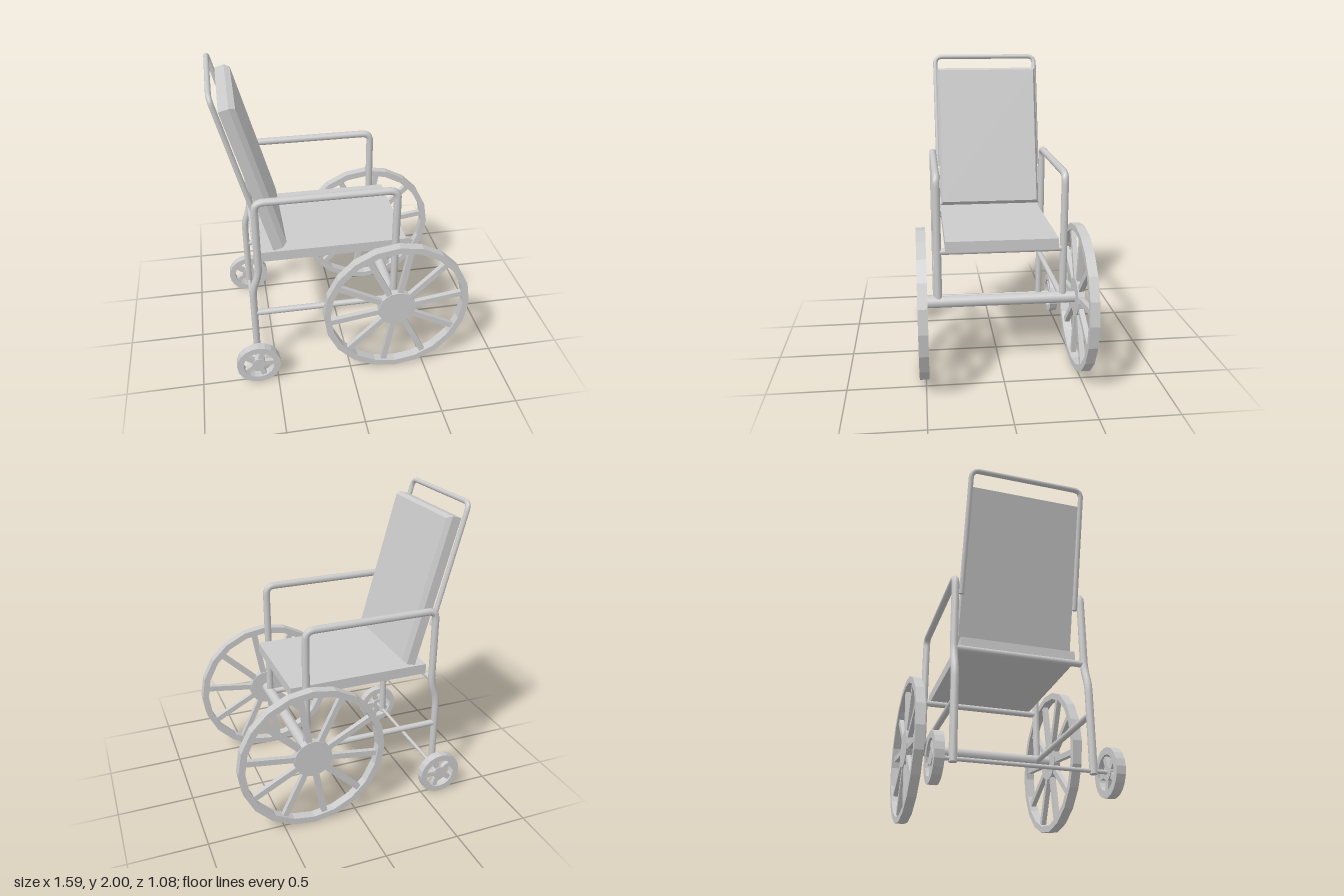
import * as THREE from 'three';

const grey = new THREE.MeshStandardMaterial({ color: 0xcccccc });
const flat = new THREE.MeshStandardMaterial({ color: 0xcccccc, flatShading: true });
const V = (x, y, z) => new THREE.Vector3(x, y, z);

function add(parent, name, geometry, material = flat) {
  const mesh = new THREE.Mesh(geometry, material);
  mesh.name = name;
  parent.add(mesh);
  return mesh;
}

// Bent tube through corner points, each corner rounded by the bend length, ends capped
function bentTube(parent, name, points, radius, bend) {
  const path = new THREE.CurvePath();
  let from = points[0];
  for (let i = 1; i < points.length - 1; i++) {
    const p = points[i];
    const a = p.clone().add(points[i - 1].clone().sub(p).setLength(bend));
    const b = p.clone().add(points[i + 1].clone().sub(p).setLength(bend));
    path.add(new THREE.LineCurve3(from, a));
    path.add(new THREE.QuadraticBezierCurve3(a, p, b));
    from = b;
  }
  path.add(new THREE.LineCurve3(from, points[points.length - 1]));
  const group = new THREE.Group();
  group.name = name;
  parent.add(group);
  add(group, name + 'Tube', new THREE.TubeGeometry(path, 120, radius, 10), grey);
  for (const t of [0, 1]) {
    const cap = add(group, name + 'Cap', new THREE.CircleGeometry(radius, 10), grey);
    const end = path.getPoint(t);
    const out = path.getTangent(t).multiplyScalar(t ? 1 : -1);
    cap.position.copy(end);
    cap.quaternion.setFromUnitVectors(V(0, 0, 1), out);
  }
}

// Straight round bar between two points
function bar(parent, name, a, b, radius) {
  const mesh = add(parent, name, new THREE.CylinderGeometry(radius, radius, a.distanceTo(b), 14), grey);
  mesh.position.copy(a).add(b).multiplyScalar(0.5);
  mesh.quaternion.setFromUnitVectors(V(0, 1, 0), b.clone().sub(a).normalize());
}

function polygon(target, radius, sides) {
  const pts = [];
  for (let i = 0; i < sides; i++) {
    const a = (i / sides) * Math.PI * 2;
    pts.push(new THREE.Vector2(Math.cos(a) * radius, Math.sin(a) * radius));
  }
  return target.setFromPoints(pts);
}

// Faceted rim, hub and evenly spaced spokes in the XY plane
function wheel(name, { outer, inner, hub, sides, spokes, start, spokeWidth, width }) {
  const group = new THREE.Group();
  group.name = name;
  const ring = polygon(new THREE.Shape(), outer, sides);
  ring.holes.push(polygon(new THREE.Path(), inner, sides));
  const rim = new THREE.ExtrudeGeometry(ring, { depth: width, bevelEnabled: false });
  add(group, 'rim', rim.translate(0, 0, -width / 2));
  const hubGeo = new THREE.CylinderGeometry(hub, hub, width * 0.75, sides);
  add(group, 'hub', hubGeo.rotateX(Math.PI / 2));
  const length = inner - hub * 0.8 + 0.015;
  for (let i = 0; i < spokes; i++) {
    const spoke = new THREE.BoxGeometry(length, spokeWidth, width * 0.55);
    spoke.translate(hub * 0.8 + length / 2, 0, 0);
    add(group, 'spoke', spoke.rotateZ(start + (i / spokes) * Math.PI * 2));
  }
  return group;
}

export function createModel() {
  const model = new THREE.Group();
  model.name = 'wheelchair';

  for (const s of [-1, 1]) {
    // Side frame: caster leg, rear post, armrest and front post in one tube
    const z = 0.407 * s;
    bentTube(model, 'sideFrame', [
      V(-0.624, 0.13, z), V(-0.624, 0.68, z), V(-0.58, 0.8, z),
      V(-0.58, 1.32, z), V(0.302, 1.32, z), V(0.302, 0.49, z),
    ], 0.024, 0.055);
    bar(model, 'lowerRail', V(-0.62, 0.49, z), V(0.3, 0.49, z), 0.02);

    // Wheels
    const drive = wheel('driveWheel', {
      outer: 0.488, inner: 0.445, hub: 0.126, sides: 20, spokes: 10,
      start: 0.14, spokeWidth: 0.038, width: 0.06,
    });
    drive.position.set(0.302, 0.49, 0.51 * s);
    const caster = wheel('casterWheel', {
      outer: 0.145, inner: 0.103, hub: 0.045, sides: 20, spokes: 5,
      start: 0, spokeWidth: 0.034, width: 0.055,
    });
    caster.position.set(-0.624, 0.146, 0.508 * s);
    model.add(drive, caster);
  }

  // Axles and the bars under the seat
  bar(model, 'driveAxle', V(0.302, 0.49, -0.5), V(0.302, 0.49, 0.5), 0.037);
  bar(model, 'casterAxle', V(-0.624, 0.148, -0.5), V(-0.624, 0.148, 0.5), 0.0125);
  for (const x of [-0.58, 0.302]) {
    bar(model, 'seatBar', V(x, 0.832, -0.395), V(x, 0.832, 0.395), 0.02);
  }

  // Backrest hoop
  bentTube(model, 'backHoop', [
    V(-0.576, 1.205, 0.367), V(-0.782, 1.985, 0.367),
    V(-0.782, 1.985, -0.367), V(-0.576, 1.205, -0.367),
  ], 0.0165, 0.05);

  // Seat
  const seat = new THREE.BoxGeometry(0.945, 0.068, 0.72);
  add(model, 'seat', seat.translate(-0.086, 0.889, 0));

  // Leaning back cushion with chamfered front edges
  const cushion = new THREE.BoxGeometry(0.095, 0.996, 0.72, 2, 1, 1);
  cushion.translate(0.0475, 0.498, 0);
  const pos = cushion.attributes.position;
  for (let i = 0; i < pos.count; i++) {
    const x = pos.getX(i);
    if (x > 0.08) {
      pos.setY(i, pos.getY(i) > 0.5 ? 0.976 : 0.02);
      pos.setZ(i, Math.sign(pos.getZ(i)) * 0.342);
    } else if (x > 0.02) pos.setX(i, 0.062);
  }
  const back = add(model, 'backCushion', cushion);
  back.position.set(-0.475, 0.932, 0);
  back.rotation.z = 0.267;

  return model;
}
